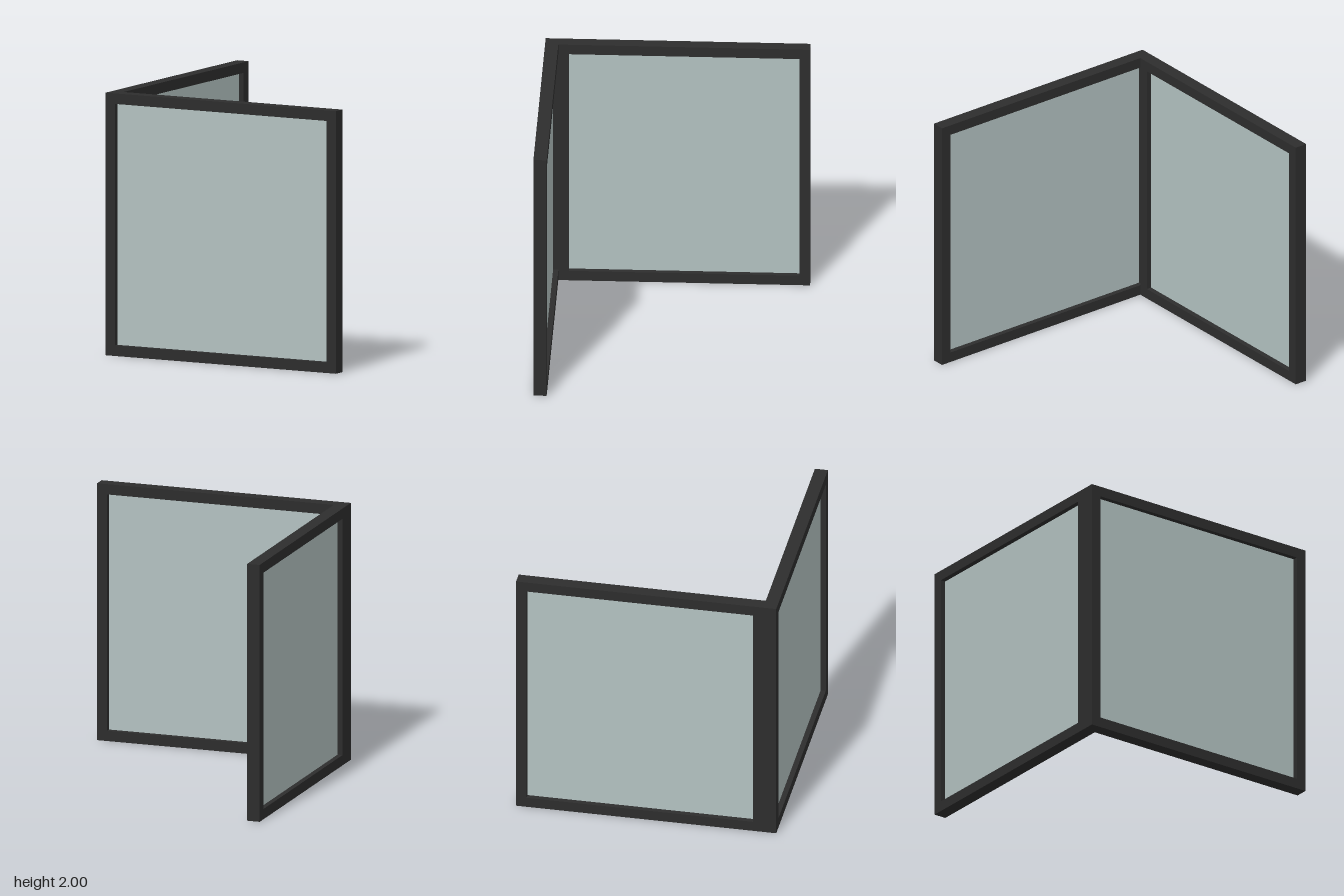
import * as THREE from 'three';

const HEIGHT = 2, DEPTH = 0.1, RAIL = 0.08, GLASS = 0.02;

const frameMat = new THREE.MeshStandardMaterial({ color: 0x2d2d2d });
frameMat.name = 'darkFrame';
const glassMat = new THREE.MeshStandardMaterial({ color: 0xb3c2c1 });
glassMat.name = 'paleGlass';

// Framed pane standing on y = 0, centred on x and z
function makePanel(name, width) {
  const panel = new THREE.Group();
  panel.name = name;
  const w = width / 2, iw = w - RAIL;

  // Frame with one rectangular opening
  const outline = new THREE.Shape([
    new THREE.Vector2(-w, 0), new THREE.Vector2(w, 0),
    new THREE.Vector2(w, HEIGHT), new THREE.Vector2(-w, HEIGHT),
  ]);
  outline.holes.push(new THREE.Path([
    new THREE.Vector2(-iw, RAIL), new THREE.Vector2(-iw, HEIGHT - RAIL),
    new THREE.Vector2(iw, HEIGHT - RAIL), new THREE.Vector2(iw, RAIL),
  ]));
  const frameGeo = new THREE.ExtrudeGeometry(outline, { depth: DEPTH, bevelEnabled: false });
  frameGeo.translate(0, 0, -DEPTH / 2);
  const frame = new THREE.Mesh(frameGeo, frameMat);
  frame.name = name + 'Frame';

  // Glass set in the middle of the frame depth
  const glass = new THREE.Mesh(
    new THREE.BoxGeometry(iw * 2, HEIGHT - RAIL * 2, GLASS), glassMat);
  glass.name = name + 'Glass';
  glass.position.y = HEIGHT / 2;

  panel.add(frame, glass);
  return panel;
}

export function createModel() {
  const model = new THREE.Group();
  model.name = 'cornerWindow';

  // Full-width front panel
  const front = makePanel('frontPanel', 2);
  front.position.z = 1 - DEPTH / 2;

  // Side panel butts against the back of the front panel
  const side = makePanel('sidePanel', 2 - DEPTH);
  side.rotation.y = -Math.PI / 2;
  side.position.set(-1 + DEPTH / 2, 0, -DEPTH / 2);

  model.add(front, side);
  return model;
}
